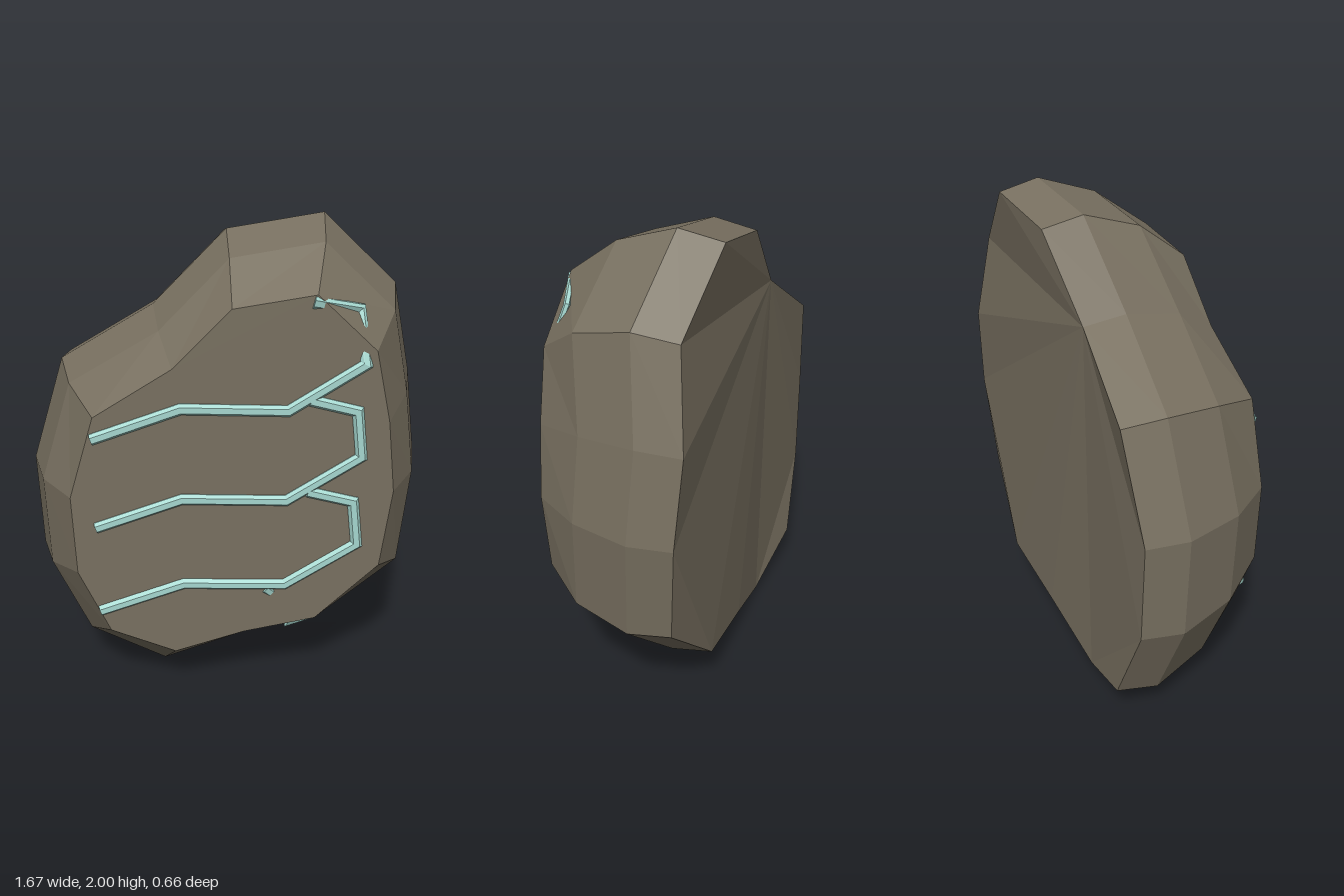
import * as THREE from 'three';

// Outline of the stone: x, y at its widest, x, y at the front face, depth wobble
const outline = [
  [0.40, 2.00, 0.32, 1.77, -0.02], [0.70, 1.72, 0.555, 1.55, 0.025],
  [0.79, 1.33, 0.62, 1.26, -0.02], [0.835, 0.96, 0.655, 0.96, 0],
  [0.785, 0.52, 0.615, 0.62, 0.03], [0.45, 0.20, 0.355, 0.37, -0.015],
  [0.05, 0.12, 0.05, 0.31, 0], [-0.315, 0.00, -0.24, 0.22, 0.03],
  [-0.67, 0.15, -0.51, 0.335, -0.02], [-0.83, 0.535, -0.635, 0.62, 0],
  [-0.84, 0.96, -0.645, 0.96, 0.005], [-0.70, 1.40, -0.54, 1.30, -0.025],
  [-0.305, 1.64, -0.23, 1.49, 0.02], [0.00, 1.94, 0.00, 1.72, -0.005],
];
const FRONT = 0.31;

// Joins rings of equal length into a closed, flat-shaded solid.
// Rings run clockwise seen from outside the first ring. The caps are fans
// from one corner, with the listed ear corners cut off as single triangles.
function loft(rings, fanStart = 0, ears = []) {
  const pos = [];
  const tri = (a, b, c) => pos.push(...a, ...b, ...c);
  const n = rings[0].length;
  for (let r = 0; r < rings.length - 1; r++) {
    const A = rings[r], B = rings[r + 1];
    for (let i = 0; i < n; i++) {
      const j = (i + 1) % n;
      tri(A[i], B[j], B[i]);
      tri(A[i], A[j], B[j]);
    }
  }
  const first = rings[0], last = rings[rings.length - 1];
  const cap = (a, b, c) => {
    tri(first[a], first[c], first[b]);
    tri(last[a], last[b], last[c]);
  };
  const rim = first.map((_, k) => (fanStart + k) % n).filter((i) => !ears.includes(i));
  for (let k = 1; k < rim.length - 1; k++) cap(rim[0], rim[k], rim[k + 1]);
  ears.forEach((e) => cap(e - 1, e, e + 1));
  const g = new THREE.BufferGeometry();
  g.setAttribute('position', new THREE.Float32BufferAttribute(pos, 3));
  g.computeVertexNormals();
  return g;
}

// Four rings: flat front, shoulder, widest, back
function stoneGeometry() {
  const mix = THREE.MathUtils.lerp;
  const front = outline.map(([, , x, y]) => [x, y, FRONT]);
  const shoulder = outline.map(([X, Y, x, y, d]) => [mix(x, X, 0.67), mix(y, Y, 0.67), 0.11 + d]);
  const widest = outline.map(([X, Y, , , d]) => [X, Y, -0.135 + d]);
  const back = outline.map(([X, Y, , , d]) => [X * 0.965, 0.96 + (Y - 0.96) * 0.965, -0.308 + d]);
  return loft([front, shoulder, widest, back], 12, [4, 8]);
}

// Cross-section of a raised line: sideways offset, height
const section = [[0.023, -0.012], [0.023, 0.004], [0.012, 0.018], [-0.012, 0.018], [-0.023, 0.004], [-0.023, -0.012]];

// Sweeps the section along a path with mitred corners
function lineGeometry(path) {
  const pts = path.map(([x, y, z = FRONT]) => new THREE.Vector3(x, y, z));
  const side = (a, b) => new THREE.Vector2(-(b.y - a.y), b.x - a.x).normalize();
  const rings = pts.map((p, i) => {
    const before = side(pts[Math.max(i - 1, 0)], pts[Math.max(i, 1)]);
    const after = side(pts[Math.min(i, pts.length - 2)], pts[Math.min(i + 1, pts.length - 1)]);
    const mitre = before.clone().add(after).normalize();
    mitre.divideScalar(Math.max(mitre.dot(before), 0.5));
    return section.map(([s, h]) => [p.x + mitre.x * s, p.y + mitre.y * s, p.z + h]);
  });
  return loft(rings);
}

export function createModel() {
  const stone = new THREE.MeshStandardMaterial({ color: 0x787060, flatShading: true });
  const glow = new THREE.MeshStandardMaterial({ color: 0xa6d8d0, flatShading: true });
  const model = new THREE.Group();
  model.name = 'carvedStone';

  const body = new THREE.Mesh(stoneGeometry(), stone);
  body.name = 'stoneBody';
  model.add(body);

  const lines = new THREE.Group();
  lines.name = 'raisedLines';
  model.add(lines);
  const addLine = (name, path) => {
    const mesh = new THREE.Mesh(lineGeometry(path), glow);
    mesh.name = name;
    lines.add(mesh);
  };

  // Three stacked wavy lines with hooked ends; the top hook dips over the edge
  [0, 0.39, 0.775].forEach((dy, i) => {
    const top = i === 2;
    addLine('hookedLine' + (i + 1), [
      [-0.55, 0.435 + dy], [-0.2, 0.555 + dy], [0.22, 0.54 + dy], [0.515, 0.725 + dy],
      [0.492, 0.918 + dy, top ? 0.23 : FRONT], [0.305, 0.967 + dy],
    ]);
  });

  // Short pieces near the lower edge
  addLine('lowerChip', [[0.145, 0.52, 0.305], [0.17, 0.495, 0.295]]);
  addLine('lowerStroke', [[0.24, 0.33, 0.275], [0.37, 0.276, 0.135]]);
  return model;
}
